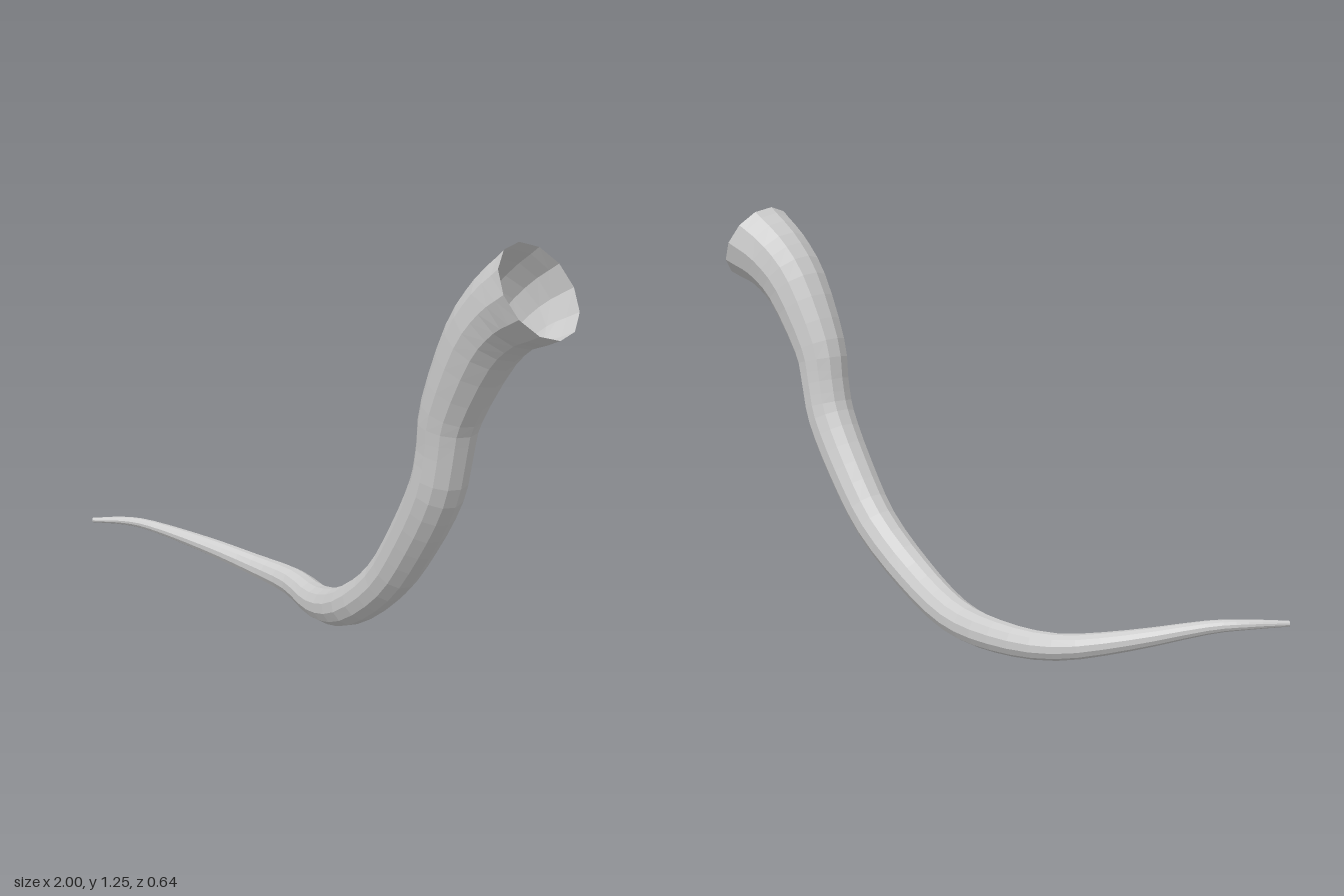
import * as THREE from 'three';

// Stations along the horn, tip to mouth: x, y, z, radius
const STATIONS = [
  [-0.995, 0.172, -0.08, 0.008],
  [-0.9, 0.173, -0.143, 0.014],
  [-0.8, 0.162, -0.185, 0.019],
  [-0.6, 0.114, -0.253, 0.029],
  [-0.4, 0.073, -0.283, 0.038],
  [-0.2, 0.062, -0.247, 0.047],
  [0.0, 0.063, -0.138, 0.055],
  [0.2, 0.13, -0.025, 0.062],
  [0.38, 0.262, 0.04, 0.068],
  [0.505, 0.42, 0.087, 0.074],
  [0.6, 0.58, 0.122, 0.078],
  [0.63, 0.695, 0.133, 0.079],
  [0.655, 0.81, 0.142, 0.086],
  [0.75, 0.995, 0.161, 0.103],
  [0.838, 1.09, 0.175, 0.117],
  [0.93, 1.146, 0.19, 0.134],
];
const SIDES = 12;
const RINGS = 45;

// Sweeps a tapering ring along the stations; the mouth stays open, the tip is closed
function sweepHorn() {
  const path = new THREE.CatmullRomCurve3(
    STATIONS.map(([x, y, z]) => new THREE.Vector3(x, y, z)), false, 'catmullrom', 0.5);
  const radii = new THREE.CatmullRomCurve3(
    STATIONS.map((s) => new THREE.Vector3(s[3], 0, 0)), false, 'catmullrom', 0.5);
  const positions = [];
  const index = [];
  const normal = new THREE.Vector3(0, 1, 0);
  const side = new THREE.Vector3();
  const p = new THREE.Vector3();

  // Rings run from mouth to tip, carrying the frame along without twist
  for (let i = 0; i <= RINGS; i++) {
    const t = 1 - i / RINGS;
    const centre = path.getPoint(t);
    const tangent = path.getTangent(t);
    const r = radii.getPoint(t).x;
    normal.addScaledVector(tangent, -normal.dot(tangent)).normalize();
    side.crossVectors(tangent, normal);
    for (let j = 0; j < SIDES; j++) {
      const a = (j / SIDES) * Math.PI * 2;
      p.copy(centre).addScaledVector(normal, r * Math.cos(a)).addScaledVector(side, r * Math.sin(a));
      positions.push(p.x, p.y, p.z);
    }
  }
  for (let i = 0; i < RINGS; i++) {
    for (let j = 0; j < SIDES; j++) {
      const a = i * SIDES + j;
      const b = i * SIDES + ((j + 1) % SIDES);
      index.push(a, b, a + SIDES, b, b + SIDES, a + SIDES);
    }
  }
  // Tip cap
  const last = RINGS * SIDES;
  for (let j = 1; j < SIDES - 1; j++) index.push(last, last + j, last + j + 1);

  const geometry = new THREE.BufferGeometry();
  geometry.setAttribute('position', new THREE.Float32BufferAttribute(positions, 3));
  geometry.setIndex(index);
  const flat = geometry.toNonIndexed();
  flat.computeVertexNormals();
  return flat;
}

export function createModel() {
  const group = new THREE.Group();
  group.name = 'curvedHorn';
  const material = new THREE.MeshStandardMaterial({
    name: 'hornGrey', color: 0xcccccc, flatShading: true, side: THREE.DoubleSide,
  });
  const horn = new THREE.Mesh(sweepHorn(), material);
  horn.name = 'hornShell';
  group.add(horn);
  return group;
}
